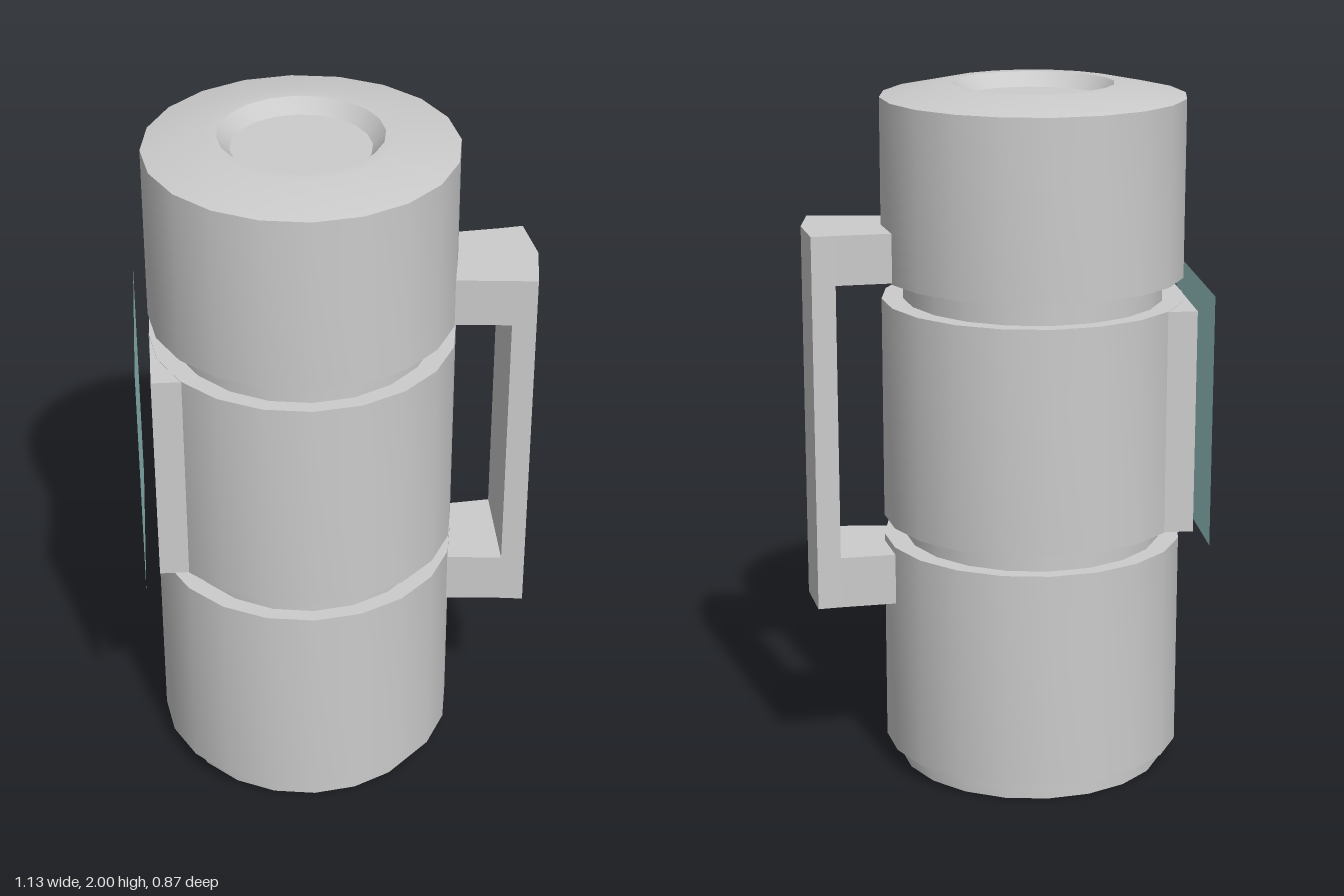
import * as THREE from 'three';
import { toCreasedNormals } from 'three/addons/utils/BufferGeometryUtils.js';

const AXIS_X = -0.094; // the body sits off-centre to make room for the handle
const SIDES = 20;
const R = 0.433;

export function createModel() {
  const model = new THREE.Group();
  const grey = new THREE.MeshStandardMaterial({ color: 0xcccccc });
  const teal = new THREE.MeshStandardMaterial({ color: 0xa0d0d0, side: THREE.DoubleSide });

  function add(name, geometry, material = grey, parent = model) {
    const mesh = new THREE.Mesh(geometry, material);
    mesh.name = name;
    parent.add(mesh);
    return mesh;
  }

  // Turned section: [radius, height] profile from bottom to top
  function turned(name, profile) {
    const points = profile.map(([r, y]) => new THREE.Vector2(r, y));
    const geometry = toCreasedNormals(new THREE.LatheGeometry(points, SIDES), 0.4);
    add(name, geometry).position.x = AXIS_X;
  }

  // Body: base with a recessed underside, middle drum, and dished lid
  turned('lowerBody', [
    [0, 0.05], [0.345, 0.05], [0.385, 0], [0.39, 0], [0.39, 0.06], [R, 0.06], [R, 0.688], [0, 0.688],
  ]);
  turned('middleBody', [[0, 0.746], [R, 0.746], [R, 1.392], [0, 1.392]]);
  turned('upperBody', [
    [0, 1.46], [R, 1.46], [R, 1.965], [0.265, 2], [0.228, 2], [0.193, 1.96], [0, 1.96],
  ]);

  // Recessed necks between the body sections, slightly narrower in x
  for (const [name, bottom, top] of [['lowerNeck', 0.688, 0.746], ['upperNeck', 1.392, 1.46]]) {
    const neck = add(name, new THREE.CylinderGeometry(0.389, 0.389, top - bottom, SIDES, 1, true));
    neck.scale.x = 0.956;
    neck.position.set(AXIS_X, (bottom + top) / 2, 0);
  }

  // Handle: flared plan outlines raised vertically
  const handle = new THREE.Group();
  handle.name = 'handle';
  model.add(handle);
  function raised(name, outline, bottom, top) {
    const shape = new THREE.Shape(outline.map(([x, z]) => new THREE.Vector2(x, -z)));
    const geometry = new THREE.ExtrudeGeometry(shape, { depth: top - bottom, bevelEnabled: false });
    geometry.rotateX(-Math.PI / 2).translate(0, bottom, 0);
    add(name, geometry, grey, handle);
  }
  const arm = [[0.3, -0.133], [0.475, -0.149], [0.475, 0.149], [0.3, 0.133]];
  const grip = [[0.475, -0.149], [0.542, -0.158], [0.564, 0], [0.542, 0.158], [0.475, 0.149]];
  raised('lowerArm', arm, 0.518, 0.667);
  raised('upperArm', arm, 1.464, 1.605);
  raised('grip', grip, 0.518, 1.605);

  // Flat mounting block on the right-hand side
  const block = add('mountingBlock', new THREE.BoxGeometry(0.085, 0.644, 0.514));
  block.position.set(-0.4825, 1.069, 0);

  // Thin coloured panel standing just off the block
  const panel = add('panel', new THREE.PlaneGeometry(0.585, 0.725), teal);
  panel.rotation.y = -Math.PI / 2;
  panel.position.set(-0.566, 1.078, -0.002);

  return model;
}
